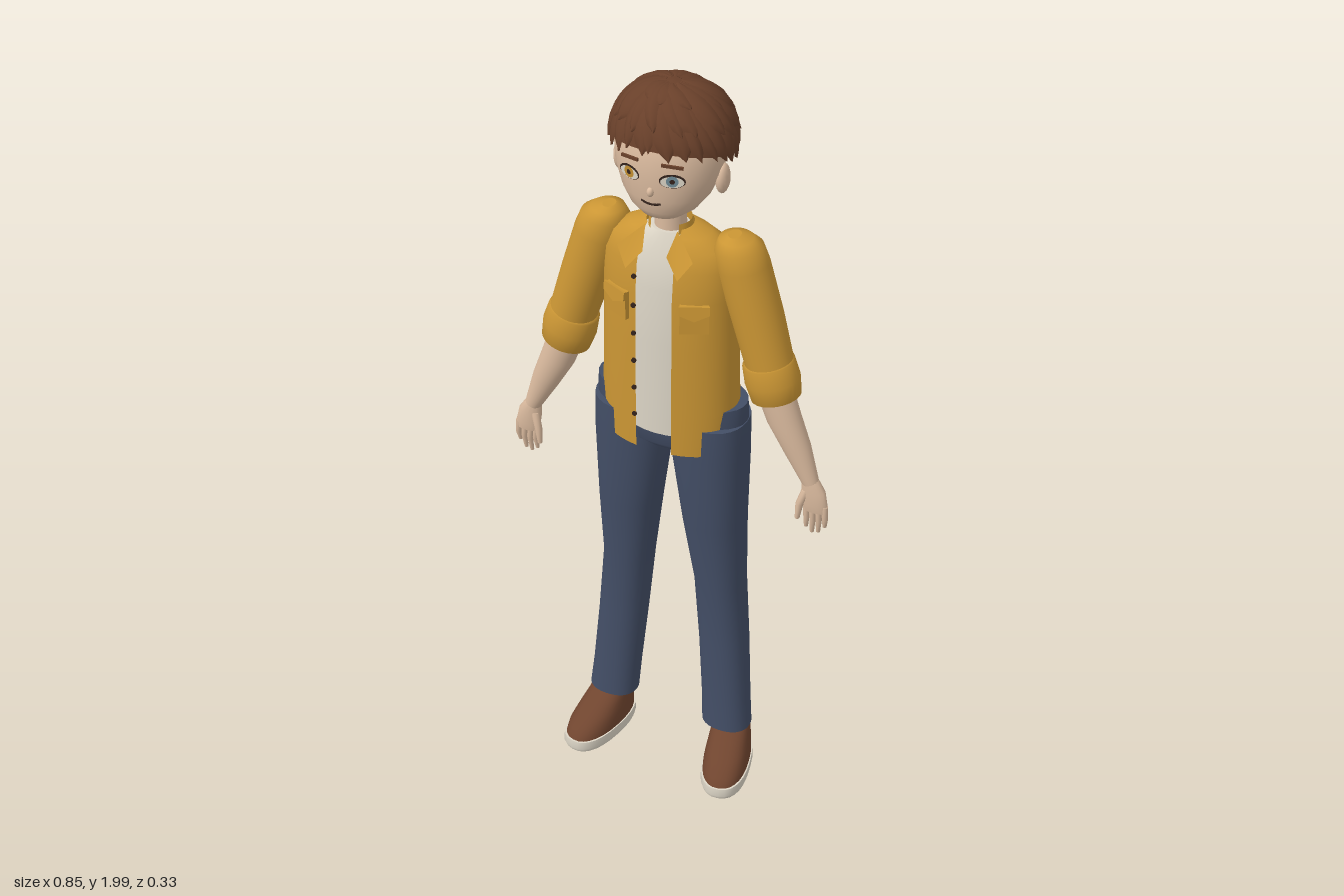
import * as THREE from 'three';

const mat = (name, color, double) => {
  const m = new THREE.MeshStandardMaterial({ color });
  m.name = name;
  if (double) m.side = THREE.DoubleSide;
  return m;
};

export function createModel() {
  const model = new THREE.Group();
  model.name = 'standingFigure';
  const M = {
    jacket: mat('mustard', 0xcb9634, true), denim: mat('denim', 0x434e66), skin: mat('skin', 0xdbbb9f),
    hair: mat('hairBrown', 0x69402a, true), shoe: mat('shoeBrown', 0x70452f), cream: mat('cream', 0xdcd5c6),
    dark: mat('darkBrown', 0x33231c), amber: mat('amber', 0xc08c30), blue: mat('greyBlue', 0x6f8a96),
  };
  const add = (name, geo, material, parent = model) => {
    const mesh = new THREE.Mesh(geo, material);
    mesh.name = name;
    parent.add(mesh);
    return mesh;
  };
  const group = (name, x, y, z, ry = 0, parent = model) => {
    const g = new THREE.Group();
    g.name = name;
    g.position.set(x, y, z);
    g.rotation.y = ry;
    parent.add(g);
    return g;
  };
  const build = (pos, idx) => {
    const g = new THREE.BufferGeometry();
    g.setAttribute('position', new THREE.Float32BufferAttribute(pos, 3));
    g.setIndex(idx);
    g.computeVertexNormals();
    return g;
  };

  // Skin over rings [x, y, z, rx, rz, tilt]; gap leaves an opening of that half width at the front
  function loft(rings, { n = 28, exp = 2, gap = 0 } = {}) {
    const R = rings[0][1] > rings.at(-1)[1] ? [...rings].reverse() : rings;
    const pos = [], idx = [], cols = gap ? n + 1 : n;
    const sp = v => Math.sign(v) * Math.abs(v) ** (2 / exp);
    const point = ([x, y, z, rx, rz, t = 0], j) => {
      const g = gap ? Math.asin(Math.min(0.95, gap / rx)) : 0;
      const a = Math.PI / 2 + g + (j / n) * (2 * Math.PI - 2 * g);
      const u = rx * sp(Math.cos(a));
      return [x + u * Math.cos(t), y + u * Math.sin(t), z + rz * sp(Math.sin(a))];
    };
    R.forEach(r => { for (let j = 0; j < cols; j++) pos.push(...point(r, j)); });
    for (let i = 0; i < R.length - 1; i++) for (let j = 0; j < n; j++) {
      const k = (j + 1) % cols, a = i * cols, b = a + cols;
      idx.push(a + j, b + j, a + k, a + k, b + j, b + k);
    }
    if (!gap) [R[0], R.at(-1)].forEach((r, top) => {
      const c = pos.length / 3;
      pos.push(r[0], r[1], r[2]);
      for (let j = 0; j < n; j++) pos.push(...point(r, j));
      for (let j = 0; j < n; j++) {
        const p = c + 1 + j, q = c + 1 + (j + 1) % n;
        idx.push(c, ...(top ? [q, p] : [p, q]));
      }
    });
    return build(pos, idx);
  }
  // Centred ring from height, half width, front and back depth
  const ring = ([y, w, f, b]) => [0, y, (f + b) / 2, w, (f - b) / 2];

  // Head and neck
  add('head', loft([[1.687, 0.028, 0.062, 0.012], [1.695, 0.05, 0.076, -0.005], [1.715, 0.08, 0.088, -0.04],
    [1.75, 0.106, 0.097, -0.08], [1.8, 0.126, 0.101, -0.108], [1.85, 0.132, 0.1, -0.125], [1.9, 0.124, 0.088, -0.122],
    [1.95, 0.09, 0.055, -0.09], [1.975, 0.03, 0.0, -0.05]].map(ring)), M.skin);
  add('neck', loft([[1.57, 0.042, 0.03, -0.05], [1.65, 0.037, 0.028, -0.045], [1.74, 0.039, 0.03, -0.045]].map(ring)), M.skin);
  const nose = add('nose', new THREE.SphereGeometry(0.012, 12, 8), M.skin);
  nose.position.set(0, 1.775, 0.099);
  nose.scale.set(0.7, 1, 0.8);
  const smile = new THREE.QuadraticBezierCurve3(new THREE.Vector3(-0.024, 1.747, 0.0945),
    new THREE.Vector3(0, 1.738, 0.1), new THREE.Vector3(0.024, 1.747, 0.0945));
  add('mouth', new THREE.TubeGeometry(smile, 10, 0.0025, 5), M.dark);

  const disc = (name, r, sx, sy, z, material, parent) => {
    const d = add(name, new THREE.CircleGeometry(r, 20), material, parent);
    d.scale.set(sx, sy, 1);
    d.position.z = z;
    return d;
  };
  for (const s of [-1, 1]) {
    const ear = add('ear', new THREE.SphereGeometry(1, 14, 10), M.skin);
    ear.scale.set(0.016, 0.038, 0.024);
    ear.position.set(s * 0.126, 1.783, -0.012);
    const eye = group('eye', s * 0.052, 1.813, 0.0955, s * 0.34);
    disc('eyeOutline', 0.03, 1, 0.58, 0, M.dark, eye);
    disc('eyeWhite', 0.027, 1, 0.52, 0.001, M.cream, eye).position.y = -0.002;
    disc('iris', 0.014, 1, 1, 0.002, s < 0 ? M.amber : M.blue, eye);
    disc('pupil', 0.006, 1, 1, 0.003, M.dark, eye);
    const brow = add('eyebrow', new THREE.BoxGeometry(0.05, 0.007, 0.005), M.hair, eye);
    brow.position.set(0, 0.036, -0.001);
    brow.rotation.z = -s * 0.12;
  }

  // Hair: a cap and two layers of tapering locks lying on an ellipsoid around the head
  let seed = 7;
  const rnd = () => (seed = (seed * 16807) % 2147483647) / 2147483647;
  const hairPoint = (th, ph, k) => [0.145 * k * Math.sin(th) * Math.sin(ph), 1.857 + 0.137 * k * Math.cos(th),
    -0.026 + 0.133 * k * Math.sin(th) * Math.cos(ph)];
  const hem = ph => 1.8 - 0.28 * Math.cos(ph);
  const patch = (rows, cols, f) => {
    const pos = [], idx = [];
    for (let i = 0; i <= rows; i++) for (let j = 0; j <= cols; j++) {
      pos.push(...f(i / rows, j / cols));
      const a = i * (cols + 1) + j;
      if (i < rows && j < cols) idx.push(a, a + cols + 1, a + 1, a + 1, a + cols + 1, a + cols + 2);
    }
    return build(pos, idx);
  };
  const hair = group('hair', 0, 0, 0);
  add('hairCap', patch(14, 40, (t, u) => {
    const ph = u * 2 * Math.PI;
    return hairPoint(0.001 + t * (hem(ph) - 0.12), ph, 0.985);
  }), M.hair, hair);
  function lock(ph0, end, width, lift, swirl) {
    add('hairLock', patch(9, 4, (t, u) => {
      const v = u * 2 - 1, th = 0.12 + t * (end - 0.12);
      const w = width * Math.sqrt(Math.max(0, 1 - t ** 3)) * (0.35 + 0.65 * Math.sin(Math.min(1, t * 2) * Math.PI / 2));
      const ph = ph0 + swirl * (t - 1) + v * w / Math.max(0.35, Math.sin(th));
      return hairPoint(th, ph, 0.98 + lift * (1 - v * v) * (0.4 + 0.6 * Math.sin(t * Math.PI * 0.8)) + 0.025 * t * t);
    }), M.hair, hair);
  }
  for (const [count, cut, width, lift] of [[26, 0, 0.2, 0.055], [17, 0.4, 0.24, 0.08], [9, 0.85, 0.26, 0.07]])
    for (let i = 0; i < count; i++) {
      const ph = ((i + rnd() * 0.6) / count) * 2 * Math.PI;
      lock(ph, hem(ph) + 0.06 - cut - rnd() * 0.16, width * (0.8 + rnd() * 0.4), lift * (0.7 + rnd() * 0.4), 0.25 + rnd() * 0.35);
    }

  // Shirt and open jacket
  add('shirt', loft([[1.09, 0.13, 0.08, -0.1], [1.35, 0.135, 0.08, -0.1], [1.5, 0.135, 0.076, -0.09],
    [1.58, 0.12, 0.06, -0.075], [1.635, 0.045, 0.036, -0.052]].map(ring)), M.cream);
  add('jacketBody', loft([[1.045, 0.168, 0.092, -0.118], [1.17, 0.173, 0.092, -0.118], [1.35, 0.168, 0.091, -0.117],
    [1.48, 0.165, 0.089, -0.108], [1.56, 0.163, 0.08, -0.095], [1.605, 0.145, 0.064, -0.082], [1.63, 0.1, 0.05, -0.068],
    [1.645, 0.056, 0.04, -0.055]].map(ring), { n: 44, exp: 2.15, gap: 0.042 }), M.jacket);
  add('collarBand', loft([[1.61, 0.056, 0.04, -0.06], [1.655, 0.05, 0.035, -0.056]].map(ring), { gap: 0.035 }), M.jacket);
  for (let i = 0; i < 6; i++) {
    const b = add('button', new THREE.CylinderGeometry(0.006, 0.006, 0.005, 10), M.dark);
    b.rotation.x = Math.PI / 2;
    b.position.set(-0.05, 1.14 + i * 0.078, i > 4 ? 0.086 : 0.09);
  }

  // Trousers
  add('trouserHips', loft([[0, 1.17, -0.022, 0.193, 0.09], [0, 1.1, -0.021, 0.197, 0.089],
    [0, 1.045, -0.02, 0.18, 0.082], [0, 1.02, -0.02, 0.1, 0.06]], { n: 36, exp: 2.2 }), M.denim);

  for (const s of [-1, 1]) {
    const side = rings => rings.map(([x, y, z, rx, rz, t = 0]) => [s * x, y, z, rx, rz, s * t]);
    add('trouserLeg', loft(side([[0.1, 1.12, -0.021, 0.097, 0.089], [0.102, 1.02, -0.021, 0.097, 0.089],
      [0.115, 0.8, -0.023, 0.08, 0.078], [0.128, 0.6, -0.035, 0.065, 0.067], [0.144, 0.4, -0.029, 0.064, 0.061],
      [0.158, 0.22, -0.016, 0.064, 0.055], [0.165, 0.13, -0.008, 0.066, 0.053]]), { exp: 2.25 }), M.denim);

    // Collar flap and chest pocket
    add('collarFlap', build([s * 0.04, 1.65, 0.042, s * 0.03, 1.6, 0.08, s * 0.065, 1.555, 0.098, s * 0.095, 1.6, 0.078],
      s > 0 ? [0, 1, 2, 0, 2, 3] : [0, 2, 1, 0, 3, 2]), M.jacket);
    const pocket = group('chestPocket', s * 0.097, 1.445, 0.073, s * 0.42);
    add('pocketBag', new THREE.BoxGeometry(0.068, 0.075, 0.014), M.jacket, pocket);
    const flap = new THREE.Shape([[-0.036, 0], [0.036, 0], [0.036, -0.022], [0, -0.038], [-0.036, -0.022]]
      .map(p => new THREE.Vector2(...p)));
    const f = add('pocketFlap', new THREE.ExtrudeGeometry(flap, { depth: 0.006, bevelEnabled: false }), M.jacket, pocket);
    f.position.set(0, 0.04, 0.006);
    f.rotation.x = -0.12;

    // Sleeve with rolled cuff
    add('sleeve', loft(side([[0.158, 1.644, -0.012, 0.015, 0.02], [0.162, 1.636, -0.012, 0.04, 0.042],
      [0.168, 1.615, -0.012, 0.058, 0.058, 0.1], [0.18, 1.57, -0.012, 0.063, 0.063, 0.2], [0.22, 1.44, -0.01, 0.062, 0.06, 0.25],
      [0.262, 1.3, -0.004, 0.058, 0.054, 0.26]])), M.jacket);
    add('cuff', loft(side([[0.252, 1.329, -0.004, 0.056, 0.05, 0.26], [0.253, 1.325, -0.004, 0.064, 0.058, 0.26],
      [0.265, 1.28, -0.003, 0.068, 0.061, 0.26], [0.276, 1.236, -0.002, 0.062, 0.056, 0.26],
      [0.275, 1.24, -0.002, 0.05, 0.045, 0.26]])), M.jacket);

    // Forearm and hand
    add('forearm', loft(side([[0.265, 1.27, -0.002, 0.046, 0.04, 0.35], [0.298, 1.18, 0, 0.043, 0.037, 0.4],
      [0.335, 1.1, 0, 0.035, 0.03, 0.4], [0.374, 1.01, 0.002, 0.021, 0.019, 0.4]])), M.skin);
    add('palm', loft(side([[0.372, 1.018, 0.002, 0.02, 0.018, 0.2], [0.382, 0.985, 0.003, 0.031, 0.019, 0.15],
      [0.388, 0.95, 0.005, 0.033, 0.016, 0.1], [0.39, 0.93, 0.006, 0.03, 0.012]]), { n: 16 }), M.skin);
    for (let i = 0; i < 4; i++) {
      const x = 0.366 + i * 0.016, len = [0.068, 0.08, 0.075, 0.055][i];
      add('finger', loft(side([[x, 0.95, 0.006, 0.0085, 0.009], [x + 0.003, 0.94 - len * 0.5, 0.007, 0.0075, 0.008],
        [x + 0.001, 0.94 - len, 0.002, 0.005, 0.005]]), { n: 10 }), M.skin);
    }
    add('thumb', loft(side([[0.366, 0.99, 0.01, 0.011, 0.011], [0.354, 0.95, 0.018, 0.01, 0.01],
      [0.35, 0.905, 0.02, 0.006, 0.006]]), { n: 10 }), M.skin);

    // Shoe, toes turned outward
    const shoe = group('shoe', s * 0.188, 0, 0.04, s * 0.22);
    add('sole', loft([[0, 0.061, 0.12, -0.12], [0.012, 0.064, 0.125, -0.124], [0.034, 0.063, 0.122, -0.123]].map(ring),
      { exp: 2.4 }), M.cream, shoe);
    add('shoeUpper', loft([[0.033, 0.06, 0.118, -0.12], [0.055, 0.059, 0.104, -0.119], [0.08, 0.055, 0.065, -0.118],
      [0.105, 0.051, 0.02, -0.115], [0.138, 0.047, -0.022, -0.11]].map(ring), { exp: 2.3 }), M.shoe, shoe);
  }
  return model;
}
